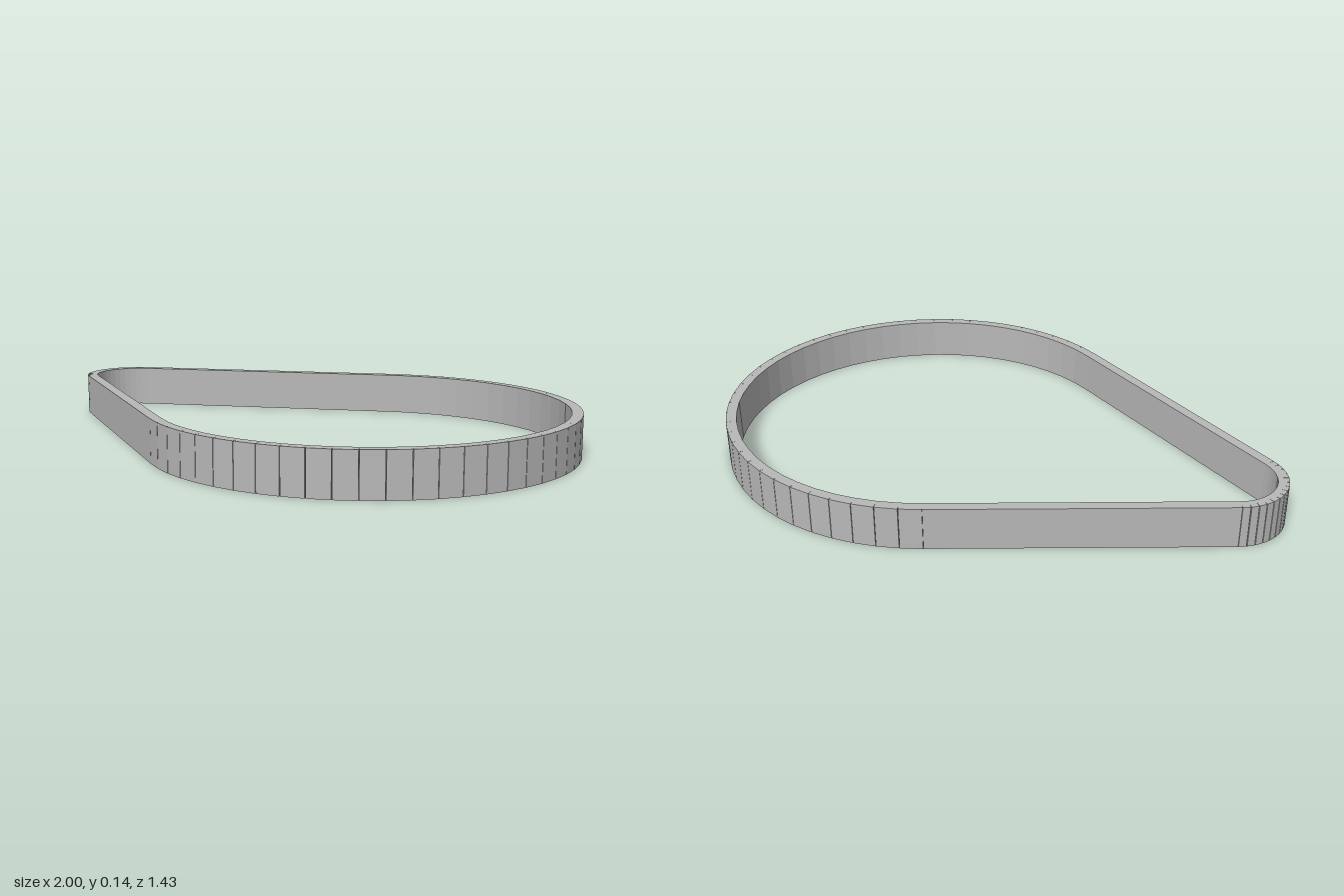
import * as THREE from 'three';

const HEIGHT = 0.143, THICK = 0.036;
const BIG = { x: 0.285, r: 0.715 - THICK / 2, steps: 40 };
const SMALL = { x: -0.82, r: 0.18 - THICK / 2, steps: 14 };

export function createModel() {
  const model = new THREE.Group();
  model.name = 'belt';
  const grey = new THREE.MeshStandardMaterial({ color: 0xb8b8b8 });
  grey.name = 'belt grey';

  // Centre line: two arcs joined by their common tangents
  const tilt = Math.asin((BIG.r - SMALL.r) / (BIG.x - SMALL.x));
  const half = Math.PI / 2 + tilt;
  const points = [];
  const addArc = (c, from, to) => {
    for (let i = 0; i <= c.steps; i++) {
      const a = from + (to - from) * i / c.steps;
      points.push(new THREE.Vector2(c.x + c.r * Math.cos(a), c.r * Math.sin(a)));
    }
  };
  addArc(BIG, -half, half);
  addArc(SMALL, half, 2 * Math.PI - half);

  // One straight link per step, leaving hairline seams on the outer face
  points.forEach((p, i) => {
    const q = points[(i + 1) % points.length];
    const length = p.distanceTo(q);
    const link = new THREE.Mesh(new THREE.BoxGeometry(length, HEIGHT, THICK), grey);
    link.position.set((p.x + q.x) / 2, HEIGHT / 2, (p.y + q.y) / 2);
    link.rotation.y = -Math.atan2(q.y - p.y, q.x - p.x);
    link.name = length > 0.3 ? 'straightRun' : 'curvedLink';
    model.add(link);
  });
  return model;
}
